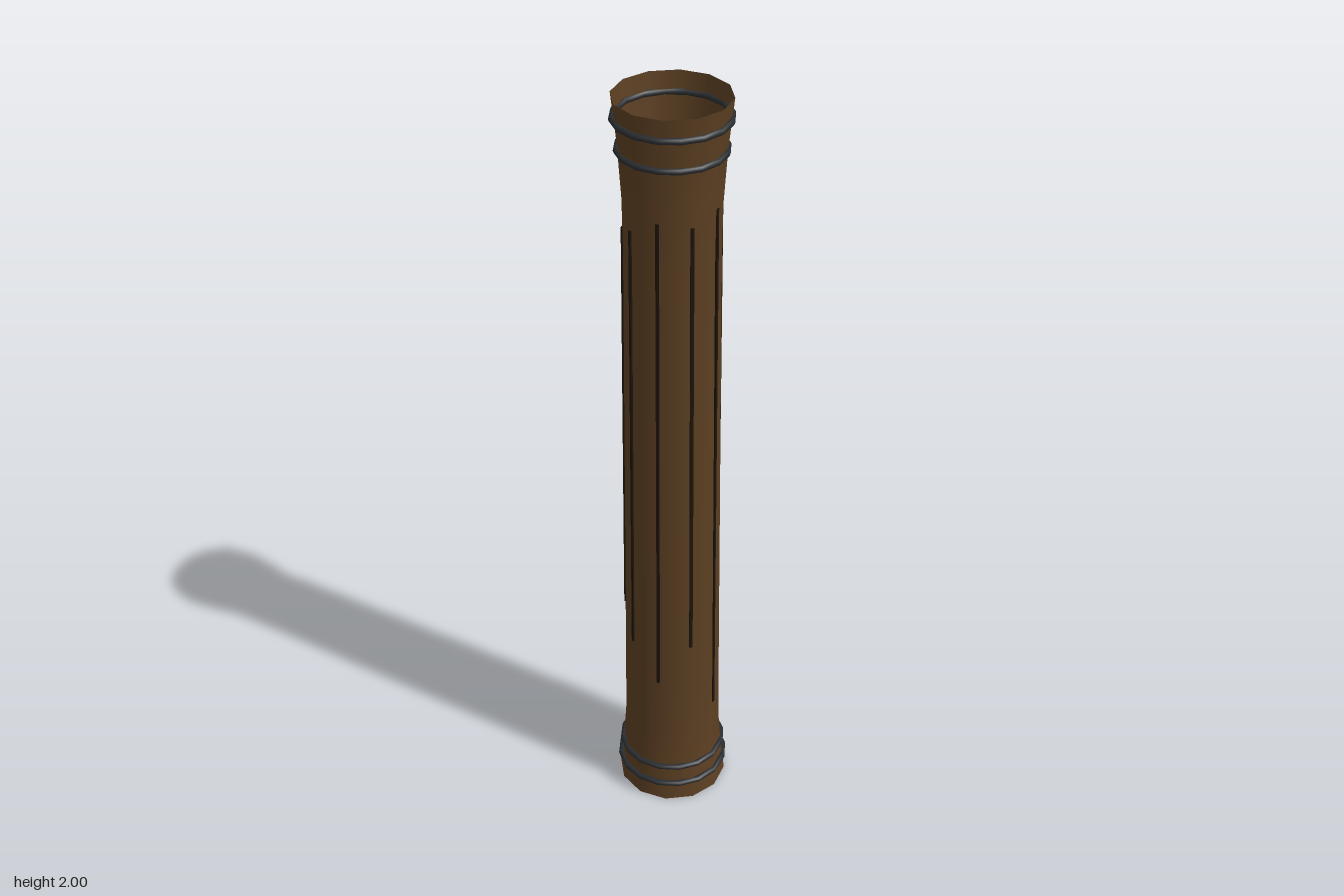
import * as THREE from 'three';

const wood = new THREE.MeshStandardMaterial({ name: 'brownWood', color: 0x5c3f22, side: THREE.DoubleSide });
const iron = new THREE.MeshStandardMaterial({ name: 'darkIron', color: 0x2a2d30 });
const groove = new THREE.MeshStandardMaterial({ name: 'blackGroove', color: 0x1c140c });

// Profile of the hollow shaft: [radius, height]
const PROFILE = [
  [0.145, 0], [0.134, 0.1], [0.127, 0.2], [0.125, 0.4], [0.12, 1],
  [0.115, 1.6], [0.116, 1.74], [0.125, 1.88], [0.138, 2],
];

// Shaft radius at a given height
function radiusAt(y) {
  const i = Math.max(1, PROFILE.findIndex((p) => p[1] >= y));
  const [r0, y0] = PROFILE[i - 1];
  const [r1, y1] = PROFILE[i];
  return r0 + ((r1 - r0) * (y - y0)) / (y1 - y0);
}

// Twelve-sided shaft: share of the corner radius left at a given angle
function facetFactor(angle) {
  const step = Math.PI / 6;
  const a = ((angle % step) + step) % step;
  return Math.cos(step / 2) / Math.cos(a - step / 2);
}

export function createModel() {
  const model = new THREE.Group();
  model.name = 'hollowColumn';

  // Open tube, flared at both ends
  const shaft = new THREE.Mesh(
    new THREE.LatheGeometry(PROFILE.map(([r, y]) => new THREE.Vector2(r, y)), 12), wood);
  shaft.name = 'shaft';
  model.add(shaft);

  // Two iron bands at each end: [height, radius]
  for (const [y, r] of [[0.055, 0.141], [0.11, 0.135], [1.875, 0.125], [1.95, 0.134]]) {
    const band = new THREE.Mesh(new THREE.TorusGeometry(r, 0.008, 8, 16), iron);
    band.name = 'ironBand';
    band.rotation.x = Math.PI / 2;
    band.position.y = y;
    model.add(band);
  }

  // Grooves 40 degrees apart, each leaning with the taper: [angle, bottom, top]
  const grooves = [
    [10, 0.28, 1.75], [50, 0.2, 1.78], [90, 0.42, 1.74],
    [130, 0.72, 1.62], [170, 0.66, 1.64], [210, 0.57, 1.67],
    [250, 0.5, 1.7], [290, 0.4, 1.74], [330, 0.52, 1.73],
  ];
  for (const [deg, y0, y1] of grooves) {
    const angle = THREE.MathUtils.degToRad(deg);
    const f = facetFactor(angle);
    const r0 = radiusAt(y0) * f;
    const r1 = radiusAt(y1) * f;
    const strip = new THREE.Mesh(new THREE.BoxGeometry(0.008, y1 - y0, 0.006), groove);
    strip.name = 'grooveStrip';
    strip.position.set(0, (y0 + y1) / 2, (r0 + r1) / 2);
    strip.rotation.x = Math.atan2(r1 - r0, y1 - y0);
    const pivot = new THREE.Group();
    pivot.name = 'groove';
    pivot.rotation.y = angle;
    pivot.add(strip);
    model.add(pivot);
  }
  return model;
}
